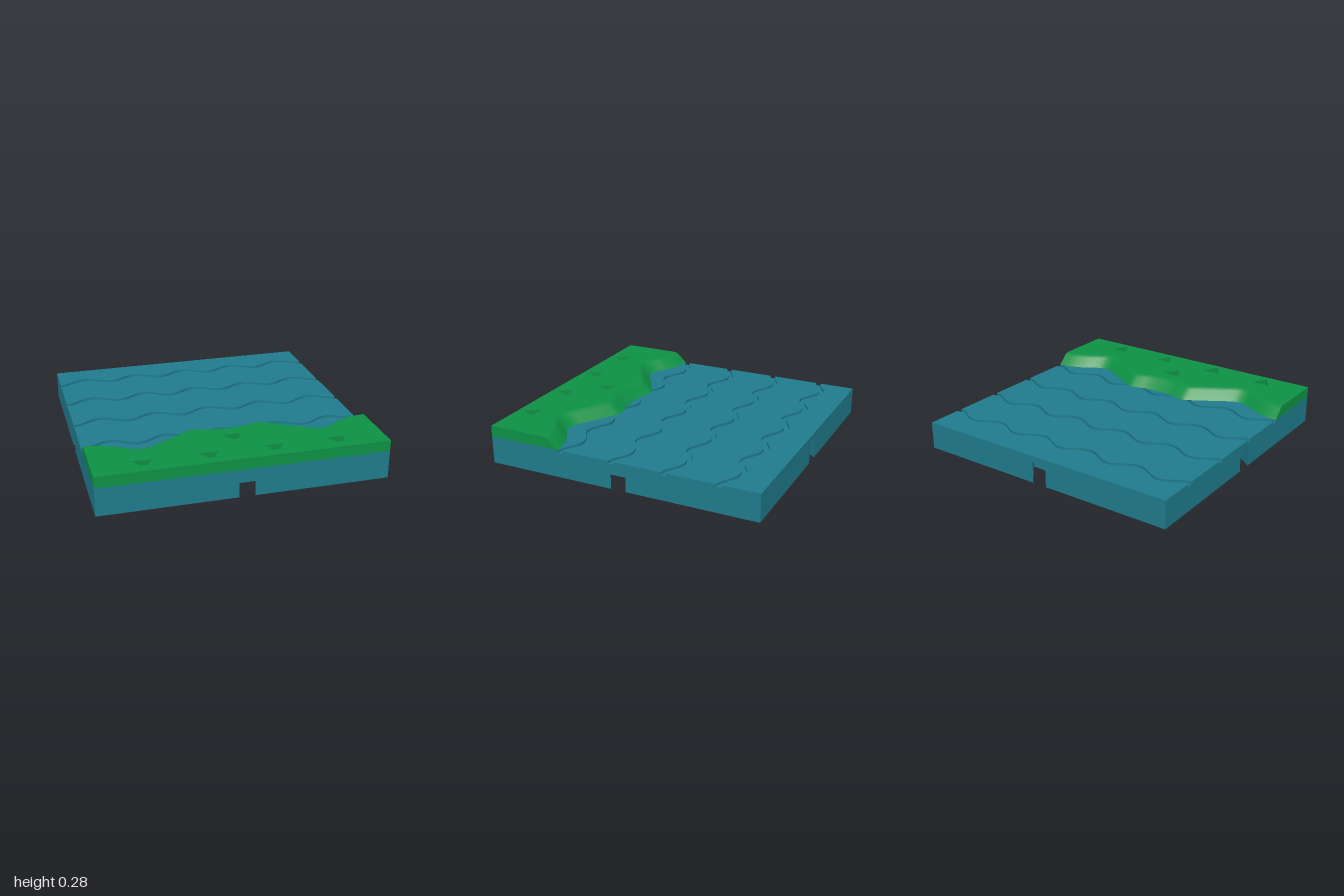
import * as THREE from 'three';
import { toCreasedNormals, mergeGeometries } from 'three/addons/utils/BufferGeometryUtils.js';

const water = new THREE.MeshStandardMaterial({ color: 0x1f7a8c });
const grass = new THREE.MeshStandardMaterial({ color: 0x0d9044 });
const v2 = (x, z) => new THREE.Vector2(x, z);

// Upright slab from a plan outline in (x, z), between two heights
function slab(points, y0, y1, holes = []) {
  const shape = new THREE.Shape(points);
  shape.holes = holes.map((h) => new THREE.Path(h));
  const g = new THREE.ExtrudeGeometry(shape, { depth: y1 - y0, bevelEnabled: false });
  g.rotateX(Math.PI / 2).translate(0, y1, 0);
  return toCreasedNormals(g, 0.6);
}

function part(name, geometry, material) {
  const mesh = new THREE.Mesh(geometry, material);
  mesh.name = name;
  return mesh;
}

// Sample z = f(x) from x = -1 to 1
function line(f, n = 120) {
  return Array.from({ length: n + 1 }, (_, i) => {
    const x = -1 + (2 * i) / n;
    return v2(x, f(x));
  });
}

// Lower slab outline: a dovetail socket in the middle of every side
function socketOutline() {
  const side = [[-1, 1], [-0.055, 1], [-0.205, 0.815], [0.205, 0.815], [0.055, 1]];
  const points = [];
  for (let k = 0; k < 4; k++) {
    for (const [x, z] of side) points.push(v2(x, z).rotateAround(v2(0, 0), (-k * Math.PI) / 2));
  }
  return points;
}

// Shoreline z at x, mirrored about x = 0
const shoreHalf = [[0, 0.437], [0.1, 0.43], [0.19, 0.408], [0.25, 0.403], [0.32, 0.437], [0.45, 0.514],
  [0.57, 0.584], [0.64, 0.597], [0.7, 0.578], [0.8, 0.518], [0.9, 0.478], [1, 0.465]];
const shorePoints = [...shoreHalf.slice(1).reverse().map(([x, z]) => [-x, z]), ...shoreHalf];
const shore = new THREE.SplineCurve(shorePoints.map(([x, z]) => v2(x, z))).getPoints(132);

// Sloping bank: a section swept along the shoreline, with end caps
function bankGeometry() {
  const section = [[0, 0.2], [0.068, 0.264], [0.082, 0.275], [0.097, 0.28], [0.097, 0.2]];
  const n = section.length;
  const pos = [];
  const index = [];
  shore.forEach((p, i) => {
    for (const [dz, y] of section) pos.push(p.x, y, p.y + dz);
    if (i === 0) return;
    for (let j = 0; j < n; j++) {
      const a = (i - 1) * n + j, b = (i - 1) * n + ((j + 1) % n);
      index.push(a, b, a + n, b, b + n, a + n);
    }
  });
  const last = (shore.length - 1) * n;
  for (let j = 1; j < n - 1; j++) {
    index.push(0, j + 1, j);
    index.push(last, last + j, last + j + 1);
  }
  const g = new THREE.BufferGeometry();
  g.setAttribute('position', new THREE.Float32BufferAttribute(pos, 3));
  g.setIndex(index);
  return toCreasedNormals(g, 0.6);
}

export function createModel() {
  const model = new THREE.Group();
  model.name = 'shoreTile';

  // Tile body with connector sockets below
  const square = [v2(-1, -1), v2(1, -1), v2(1, 1), v2(-1, 1)];
  model.add(part('socketLayer', slab(socketOutline(), 0, 0.16), water));
  model.add(part('middleLayer', slab(square, 0.16, 0.182), water));

  // Water surface: strips separated by wavy grooves
  const wave = (c) => line((x) => c - 0.04 * Math.cos(5 * Math.PI * x));
  const centres = [0, 1, 2, 3].map((i) => -0.76 + i * 0.387);
  const strips = [];
  for (let i = 0; i <= centres.length; i++) {
    const back = i === 0 ? [v2(-1, -1), v2(1, -1)] : wave(centres[i - 1] + 0.02);
    const front = i === centres.length ? [v2(-1, 1), v2(1, 1)] : wave(centres[i] - 0.02);
    strips.push(slab([...back, ...front.reverse()], 0.182, 0.2));
  }
  model.add(part('waterSurface', mergeGeometries(strips), water));

  // Raised land with triangular recesses and a sloping bank
  const land = [...shore.map((p) => v2(p.x, p.y + 0.097)), v2(1, 1), v2(-1, 1)];
  const recesses = [[0, 0.625], [-0.665, 0.85], [-0.222, 0.85], [0.222, 0.85], [0.665, 0.85]].map(
    ([x, z]) => [v2(x - 0.067, z), v2(x, z + 0.116), v2(x + 0.067, z)]
  );
  model.add(part('landBase', slab(land, 0.2, 0.24), grass));
  model.add(part('landTop', slab(land, 0.24, 0.28, recesses), grass));
  model.add(part('bank', bankGeometry(), grass));
  return model;
}
